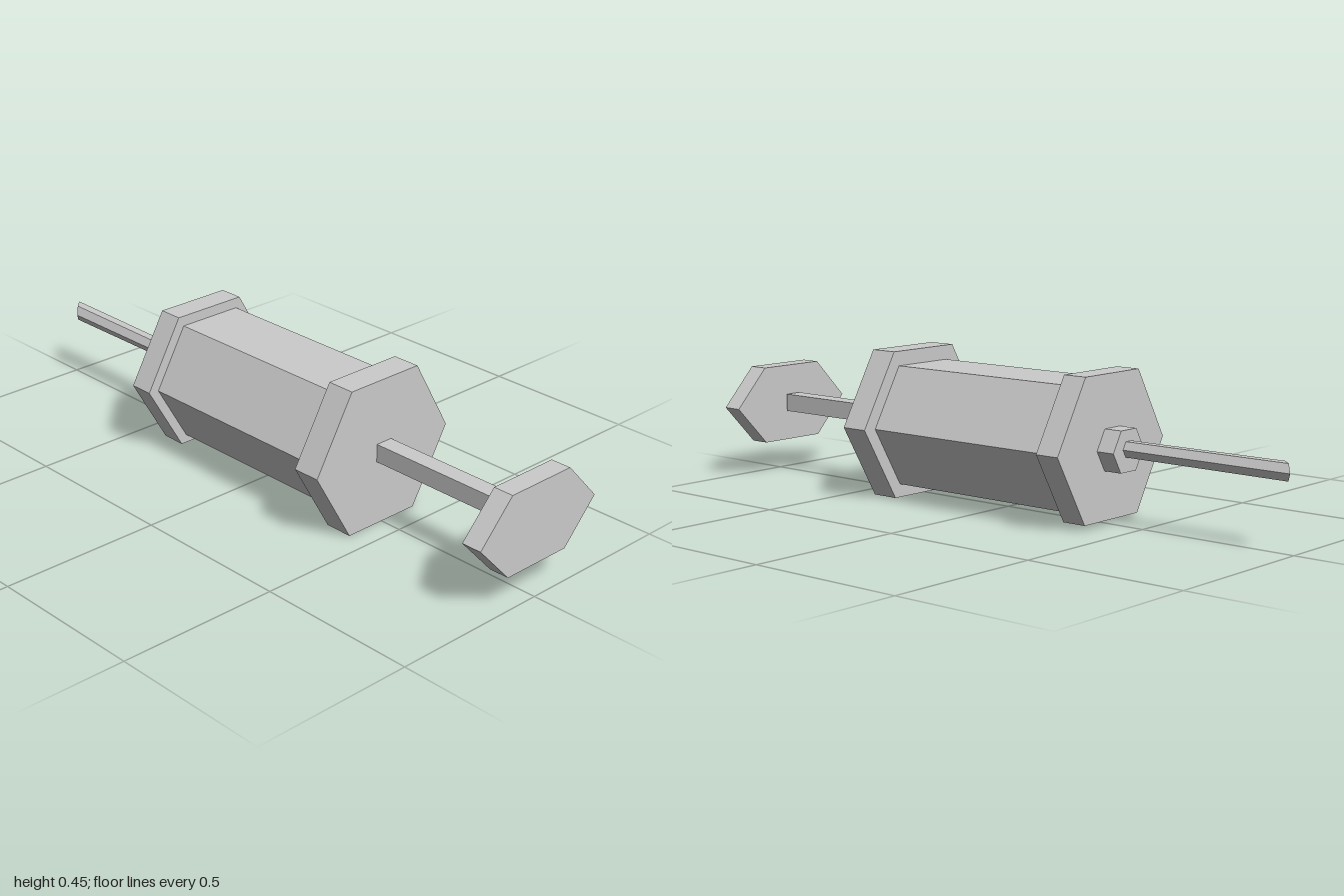
import * as THREE from 'three';

export function createModel() {
  const group = new THREE.Group();
  const material = new THREE.MeshStandardMaterial({ color: 0xcccccc, flatShading: true });

  function add(name, geometry) {
    const mesh = new THREE.Mesh(geometry, material);
    mesh.name = name;
    group.add(mesh);
    return mesh;
  }

  // Six-sided prism lying along x, corners pointing to +z and -z
  function hexPrism(name, x0, x1, r0, r1 = r0, y = 0.224, z = 0, squash = 1) {
    const g = new THREE.CylinderGeometry(r1, r0, x1 - x0, 6);
    g.rotateZ(-Math.PI / 2);
    g.scale(1, squash, 1);
    g.translate((x0 + x1) / 2, y, z);
    return add(name, g);
  }

  // Body
  hexPrism('barrel', -0.315, 0.345, 0.21, 0.21, 0.222, -0.004);
  hexPrism('frontCollar', -0.39, -0.313, 0.243, 0.243, 0.225, -0.002);
  hexPrism('rearFlange', 0.342, 0.43, 0.259, 0.259, 0.224);
  hexPrism('nozzle', -0.448, -0.388, 0.07, 0.07, 0.219);

  // Needle, with its end cut at a slant
  const needle = hexPrism('needle', -0.972, -0.44, 0.028, 0.026).geometry;
  const p = needle.attributes.position;
  for (let i = 0; i < p.count; i++) {
    if (p.getX(i) < -0.9) p.setX(i, -0.972 + p.getZ(i));
  }
  needle.computeVertexNormals();

  // Plunger: square rod and flattened thumb plate
  const rod = new THREE.BoxGeometry(0.505, 0.055, 0.056);
  rod.translate(0.6755, 0.226, -0.002);
  add('plungerRod', rod);
  hexPrism('thumbPlate', 0.937, 1, 0.23, 0.23, 0.225, 0, 0.612);

  return group;
}
